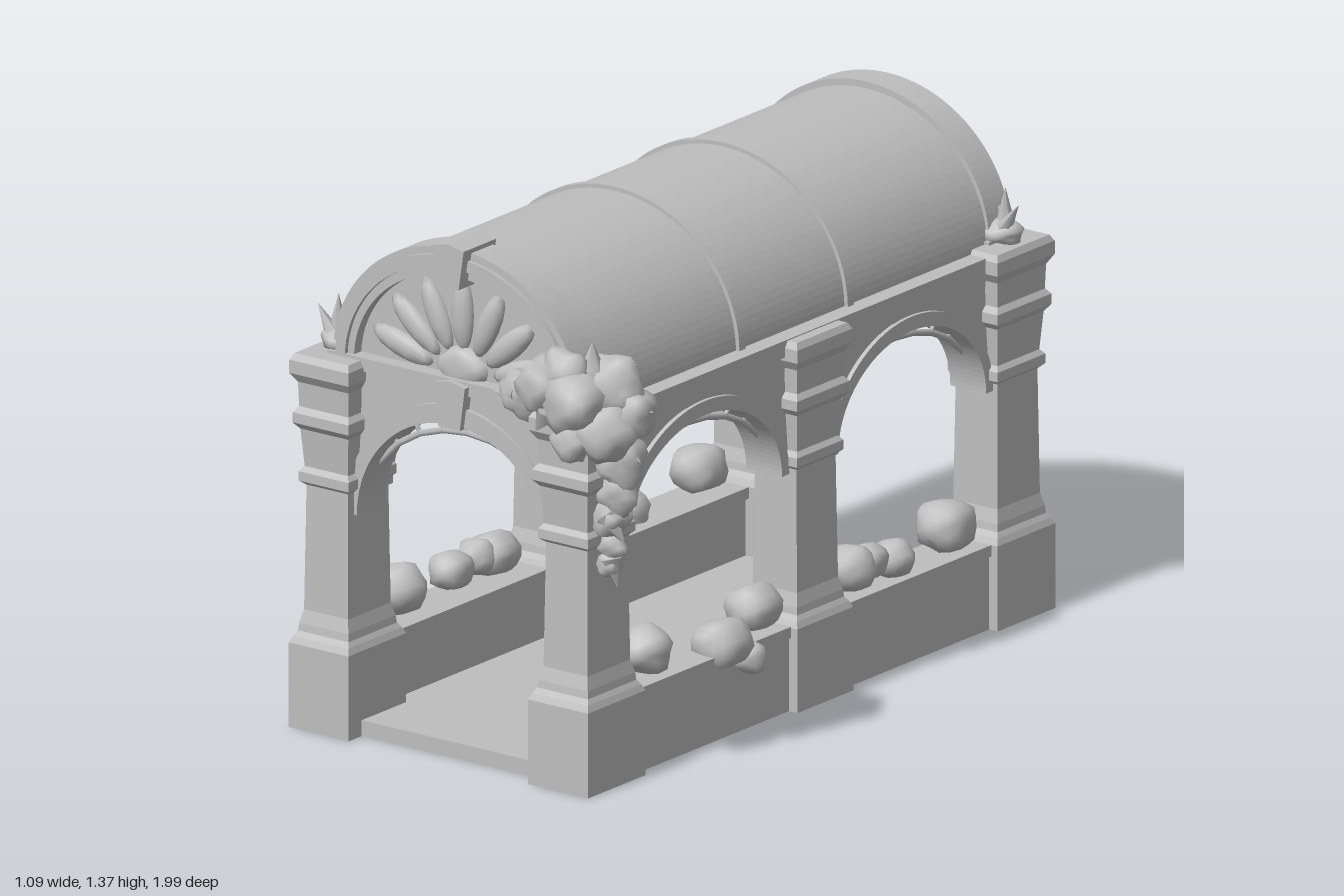
import * as THREE from 'three';
import { mergeVertices } from 'three/addons/utils/BufferGeometryUtils.js';

const stone = new THREE.MeshStandardMaterial({ color: 0xbebebe });
stone.name = 'stone';

const CX = -0.055;            // centre line of the building
const FRONT = 0.825, MID = -0.04, BACK = -0.875; // column rows along z
const BAYS = [{ u: -0.4, r: 0.322 }, { u: 0.457, r: 0.312 }]; // side arches, u = -z

export function createModel() {
  const model = new THREE.Group();
  model.name = 'archedPavilion';
  const body = new THREE.Group();
  body.name = 'building';
  body.position.x = CX;
  model.add(body);

  const add = (name, geo, parent = body) => {
    const mesh = new THREE.Mesh(geo, stone);
    mesh.name = name;
    parent.add(mesh);
    return mesh;
  };
  const box = (name, x0, x1, y0, y1, z0, z1) =>
    add(name, new THREE.BoxGeometry(x1 - x0, y1 - y0, z1 - z0)
      .translate((x0 + x1) / 2, (y0 + y1) / 2, (z0 + z1) / 2));
  const extrude = (shape, z0, z1) =>
    new THREE.ExtrudeGeometry(shape, { depth: z1 - z0, bevelEnabled: false, curveSegments: 28 })
      .translate(0, 0, z0);

  // Half-elliptical band (outer radii a, b; inner radii c, d)
  const bandShape = (x, y, a, b, c, d) => {
    const s = new THREE.Shape();
    s.moveTo(x + a, y);
    s.absellipse(x, y, a, b, 0, Math.PI, false);
    s.lineTo(x - c, y);
    s.absellipse(x, y, c, d, Math.PI, 0, true);
    return s;
  };
  // Wall whose lower edge is cut by arches
  const archedWall = (x0, x1, y0, y1, bays, rise) => {
    const s = new THREE.Shape();
    s.moveTo(x0, y0);
    for (const { u, r } of bays) {
      s.lineTo(u - r, y0);
      s.absellipse(u, y0, r, rise, Math.PI, 0, true);
    }
    s.lineTo(x1, y0);
    s.lineTo(x1, y1);
    s.lineTo(x0, y1);
    return s;
  };
  const bar = (name, p, q, r, parent) => {
    const d = q.clone().sub(p);
    const m = add(name, new THREE.CylinderGeometry(r, r, d.length(), 5), parent);
    m.position.copy(p).addScaledVector(d, 0.5);
    m.quaternion.setFromUnitVectors(new THREE.Vector3(0, 1, 0), d.normalize());
  };
  // Openwork bars under the crown of an arch
  const lattice = (u, y, r, rise, z, parent) => {
    const at = (t, k) => new THREE.Vector3(u + Math.cos(t) * r * k, y + Math.sin(t) * rise * k, z);
    const n = 8, a0 = 0.45, step = (Math.PI - 2 * a0) / n;
    for (let i = 0; i <= n; i++) {
      const t = a0 + i * step;
      const k = 1 - 0.13 * Math.sin((i / n) * Math.PI);
      const k2 = 1 - 0.13 * Math.sin(((i + 1) / n) * Math.PI);
      if (i < n) bar('latticeArc', at(t, k), at(t + step, k2), 0.009, parent);
      bar('latticeStrut', at(t, k), at(t, 1.01), 0.006, parent);
    }
  };
  // Lumpy smooth rounded mass
  const lump = (name, x, y, z, sx, sy, sz, seed, rough, parent) => {
    let g = new THREE.IcosahedronGeometry(1, 2);
    g.deleteAttribute('normal');
    g.deleteAttribute('uv');
    g = mergeVertices(g, 1e-4);
    const p = g.attributes.position, v = new THREE.Vector3();
    for (let i = 0; i < p.count; i++) {
      v.fromBufferAttribute(p, i);
      const n = Math.sin(v.x * 4.3 + seed) * Math.sin(v.y * 5.1 + seed * 2.3) + Math.sin(v.z * 4.7 + seed * 1.7) * 0.6;
      v.multiplyScalar(1 + rough * n);
      p.setXYZ(i, v.x * sx, v.y * sy, v.z * sz);
    }
    g.computeVertexNormals();
    add(name, g, parent).position.set(x, y, z);
  };

  // Floor and parapets
  box('floor', -0.37, 0.37, 0, 0.042, -0.94, 0.89);
  for (const s of [-1, 1]) {
    const span = (a, b) => (s > 0 ? [a, b] : [-b, -a]);
    box('parapet', ...span(0.325, 0.448), 0, 0.205, -0.8, 0.75);
    box('parapetCoping', ...span(0.315, 0.455), 0.195, 0.225, -0.8, 0.75);
    box('cornice', ...span(0.33, 0.435), 0.935, 0.98, -0.93, 0.85);
    box('corniceBed', ...span(0.33, 0.422), 0.9, 0.94, -0.9, 0.85);
  }

  // Square columns with pedestal, rings and capital
  const profile = [[0, 0], [0.095, 0], [0.095, 0.225], [0.088, 0.242], [0.08, 0.255], [0.078, 0.275],
    [0.07, 0.31], [0.066, 0.64], [0.079, 0.652], [0.079, 0.677], [0.069, 0.69], [0.076, 0.79],
    [0.089, 0.808], [0.089, 0.835], [0.078, 0.85], [0.08, 0.915], [0.094, 0.94], [0.094, 0.975],
    [0.085, 0.992], [0, 0.992]];
  const columnGeo = new THREE.LatheGeometry(
    profile.map(([r, y]) => new THREE.Vector2(r * Math.SQRT2, y)), 4)
    .rotateY(Math.PI / 4).scale(1, 1, 1.26).toNonIndexed();
  columnGeo.computeVertexNormals();
  for (const z of [FRONT, MID, BACK])
    for (const s of [-1, 1]) {
      const c = add('column', columnGeo);
      c.position.set(s * 0.38, 0, z);
      if (z === MID) c.scale.set(1, 0.985, 0.97);
    }

  // Side arcades, with raised archivolts and lattice
  for (const s of [-1, 1]) {
    const side = new THREE.Group();
    side.name = 'sideArcade';
    side.rotation.y = Math.PI / 2;
    side.position.x = s * 0.375;
    body.add(side);
    add('arcadeWall', extrude(archedWall(-0.82, 0.87, 0.62, 0.96, BAYS, 0.25), -0.045, 0.045), side);
    for (const { u, r } of BAYS) {
      add('archivolt', extrude(bandShape(u, 0.62, r + 0.025, 0.285, r - 0.005, 0.247), -0.057, 0.057), side);
      lattice(u, 0.62, r, 0.25, 0, side);
    }
  }

  // End walls with arch, entablature and gable rim
  for (const [name, z] of [['front', 0.825], ['back', -0.875]]) {
    const d = 0.045;
    add(name + 'ArchWall', extrude(archedWall(-0.36, 0.36, 0.58, 0.99, [{ u: 0, r: 0.308 }], 0.305), z - d, z + d));
    add(name + 'Archivolt', extrude(bandShape(0, 0.58, 0.34, 0.35, 0.305, 0.3), z - d - 0.014, z + d + 0.014));
    box(name + 'Ledge', -0.4, 0.4, 0.965, 1.0, z - d - 0.012, z + d + 0.012);
    add(name + 'GableRim', extrude(bandShape(0, 0.985, 0.392, 0.36, 0.325, 0.285), z - d, z + d));
    add(name + 'GableLip', extrude(bandShape(0, 0.985, 0.375, 0.34, 0.345, 0.31), z - d - 0.012, z + d + 0.012));
    add(name + 'Tympanum', extrude(bandShape(0, 0.985, 0.34, 0.3, 0.001, 0.001), z - 0.015, z + 0.015));
    const frame = new THREE.Group();
    frame.name = name + 'Lattice';
    body.add(frame);
    lattice(0, 0.58, 0.308, 0.305, z, frame);
  }

  // Carved fan on the front gable
  for (let i = 0; i < 7; i++) {
    const t = 0.3 + (i * (Math.PI - 0.6)) / 6;
    const petal = add('fanPetal', new THREE.SphereGeometry(1, 10, 8));
    petal.scale.set(0.1, 0.033, 0.025);
    petal.rotation.z = t;
    petal.position.set(Math.cos(t) * 0.2, 0.995 + Math.sin(t) * 0.17, 0.84);
  }
  lump('fanHeart', 0, 1.02, 0.84, 0.08, 0.06, 0.03, 2, 0.1, body);

  // Tapered keystones on the front
  const keystone = (y0, y1, z0, z1) => {
    const s = new THREE.Shape();
    s.moveTo(-0.034, y0);
    s.lineTo(0.034, y0);
    s.lineTo(0.05, y1 - 0.01);
    s.lineTo(0, y1);
    s.lineTo(-0.05, y1 - 0.01);
    add('keystone', extrude(s, z0, z1));
  };
  keystone(1.25, 1.365, 0.77, 0.905);
  keystone(0.875, 1.0, 0.77, 0.9);

  // Barrel roof and its ribs
  add('barrelRoof', extrude(bandShape(0, 0.975, 0.385, 0.352, 0.36, 0.325), -0.85, 0.8));
  for (const z of [0.2, -0.25])
    add('roofRib', extrude(bandShape(0, 0.975, 0.396, 0.363, 0.35, 0.315), z - 0.013, z + 0.013));

  // Curled leaf finials on the corners
  for (const [s, z] of [[-1, FRONT], [-1, BACK], [1, BACK]]) {
    lump('finialBase', s * 0.395, 1.015, z, 0.06, 0.035, 0.055, 1, 0.12, body);
    for (const k of [-1, 0, 1]) {
      const leaf = add('finialLeaf', new THREE.ConeGeometry(0.026, 0.1, 6));
      leaf.position.set(s * (0.408 + k * 0.026), 1.06 + (k === 0 ? 0.025 : 0), z + k * 0.015);
      leaf.rotation.z = -s * k * 0.6;
    }
  }

  // Shrubs on the parapets: z, y, radius, outward shift
  const shrubs = [[0.6, 0.29, 0.075, 0], [0.32, 0.24, 0.08, 0.03], [0.25, 0.19, 0.05, 0.06], [0.15, 0.285, 0.075, 0],
    [-0.25, 0.285, 0.07, 0], [-0.31, 0.29, 0.055, 0.01], [-0.4, 0.275, 0.06, 0.02], [-0.65, 0.295, 0.08, 0]];
  for (const s of [-1, 1])
    shrubs.forEach(([z, y, r, out], i) =>
      lump('shrub', s * (0.393 + out), y, s * (z + 0.025) - 0.025, r * 0.95, r * 0.85, r, i * 1.9 + s, 0.1, body));

  // Climbing vine on the front left corner: x, y, z, radius
  const vine = new THREE.Group();
  vine.name = 'climbingVine';
  model.add(vine);
  const clumps = [[0.19, 1.02, 0.91, 0.06], [0.26, 1.06, 0.91, 0.075], [0.32, 1.09, 0.9, 0.07], [0.36, 1.03, 0.91, 0.085],
    [0.41, 1.06, 0.83, 0.085], [0.46, 1.0, 0.82, 0.07], [0.42, 0.95, 0.88, 0.08], [0.43, 0.87, 0.83, 0.075],
    [0.36, 0.93, 0.92, 0.06], [0.43, 0.79, 0.84, 0.06], [0.42, 0.72, 0.85, 0.05], [0.425, 0.65, 0.85, 0.04], [0.425, 0.6, 0.86, 0.032]];
  clumps.forEach(([x, y, z, r], i) => lump('vineClump', x, y, z, r, r, r * 0.9, i * 2.1, 0.16, vine));
  const leaves = [[0.29, 1.13, 0.9, 0.4], [0.37, 1.14, 0.86, 0], [0.46, 1.1, 0.82, -0.6], [0.495, 1.01, 0.82, -1.5],
    [0.48, 0.9, 0.85, -2], [0.44, 0.58, 0.86, -2.9], [0.15, 1.02, 0.93, 1.7], [0.27, 0.97, 0.94, 2.6], [0.45, 0.7, 0.87, -2.4]];
  for (const [x, y, z, t] of leaves) {
    const leaf = add('vineLeaf', new THREE.ConeGeometry(0.036, 0.08, 5), vine);
    leaf.position.set(x, y, z);
    leaf.rotation.z = t;
  }
  return model;
}
